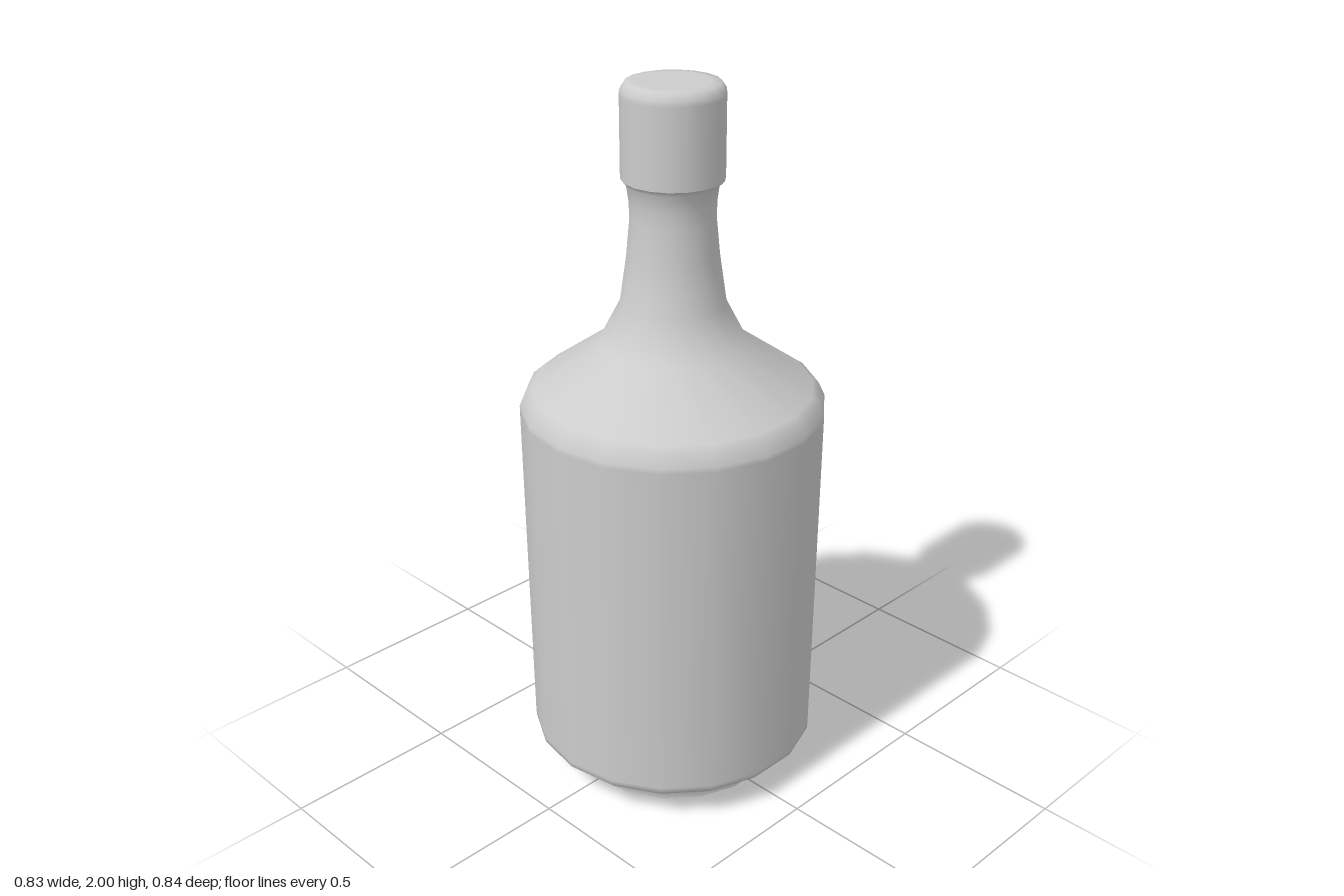
import * as THREE from 'three';

const SIDES = 18;

export function createModel() {
  const group = new THREE.Group();
  group.name = 'bottle';
  const grey = new THREE.MeshStandardMaterial({ color: 0xcccccc });
  grey.name = 'plain grey';

  // Turned part from [radius, height] pairs, listed bottom to top
  const turned = (name, profile) => {
    const points = profile.map(([r, y]) => new THREE.Vector2(r, y));
    const mesh = new THREE.Mesh(new THREE.LatheGeometry(points, SIDES), grey);
    mesh.name = name;
    group.add(mesh);
  };

  // Flat round face closing an end
  const disc = (name, radius, y, up) => {
    const geometry = new THREE.CircleGeometry(radius, SIDES, Math.PI / 2);
    geometry.rotateX(up ? -Math.PI / 2 : Math.PI / 2);
    const mesh = new THREE.Mesh(geometry, grey);
    mesh.position.y = y;
    mesh.name = name;
    group.add(mesh);
  };

  // Foot, straight body, sloping shoulder and waisted neck; the close
  // point pairs keep the long walls evenly shaded
  turned('body', [
    [0.31, 0], [0.31, 0.04], [0.395, 0.085], [0.41, 0.1], [0.411, 0.115],
    [0.419, 1.105], [0.419, 1.12], [0.402, 1.157], [0.385, 1.169],
    [0.2, 1.3], [0.143, 1.41], [0.124, 1.54], [0.114, 1.645],
    [0.116, 1.69], [0.122, 1.735], [0.137, 1.75],
  ]);

  // Cap with a rounded top rim
  turned('cap', [
    [0.137, 1.75], [0.137, 1.965], [0.136, 1.98], [0.124, 1.998], [0.1, 2],
  ]);

  disc('capTop', 0.1, 2, true);
  disc('base', 0.31, 0, false);
  return group;
}
